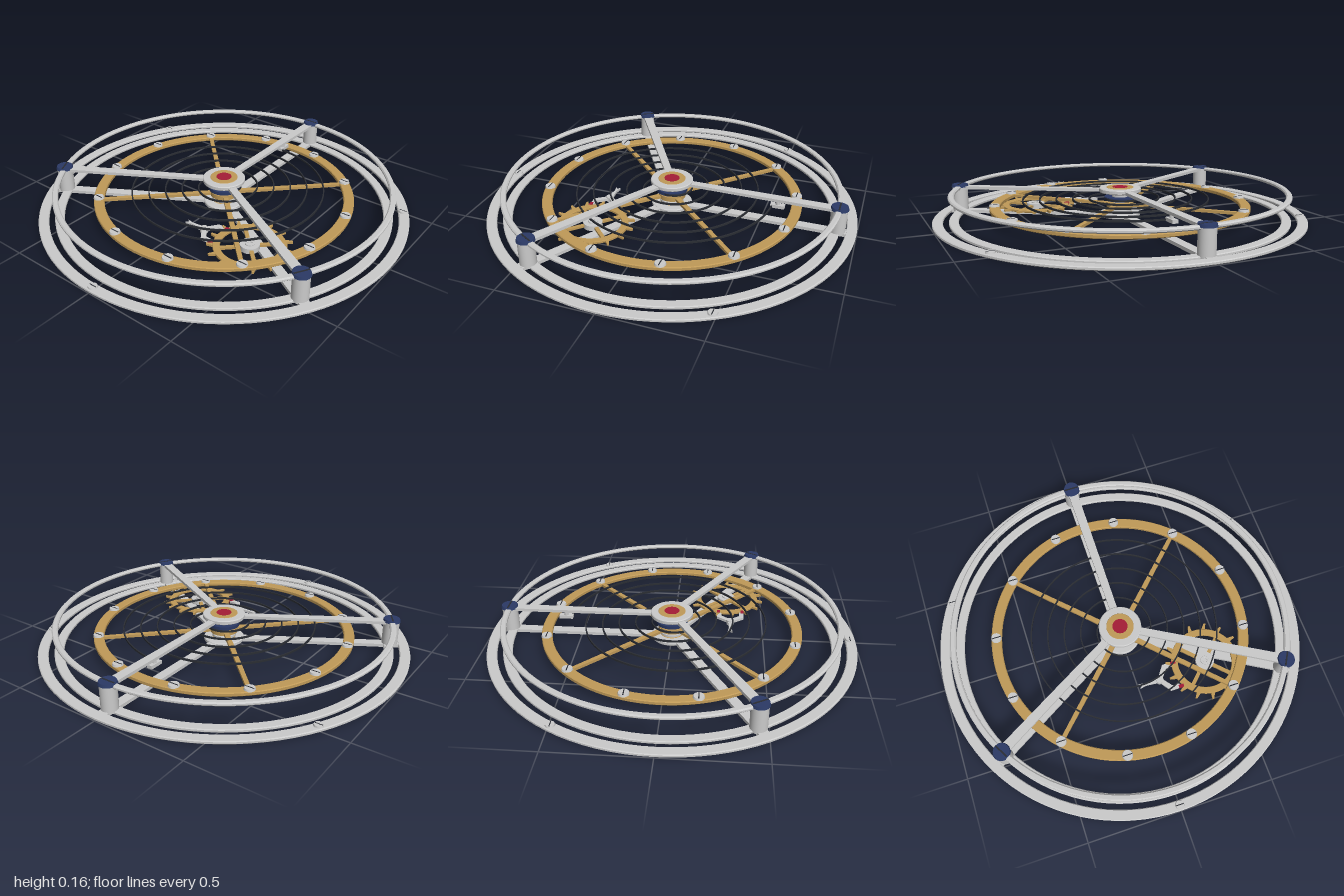
import * as THREE from 'three';

const mat = (color) => new THREE.MeshStandardMaterial({ color });
const steel = mat(0xcccccc), gold = mat(0xc09a58), blue = mat(0x2b3a66), ruby = mat(0xa51c36), dark = mat(0x2a2d33);

function add(parent, name, geometry, material, x = 0, y = 0, z = 0) {
  const mesh = new THREE.Mesh(geometry, material);
  mesh.name = name;
  mesh.position.set(x, y, z);
  parent.add(mesh);
  return mesh;
}

// Flat ring with chamfered edges, from radius r0 to r1 and height y0 to y1
function ring(r0, r1, y0, y1, c = 0.004, segments = 96) {
  const corners = [[r0, y0 + c], [r0 + c, y0], [r1 - c, y0], [r1, y0 + c],
    [r1, y1 - c], [r1 - c, y1], [r0 + c, y1], [r0, y1 - c], [r0, y0 + c]];
  // Repeated corners split the lathe into hard-edged bands
  const pts = corners.map(([r, y]) => new THREE.Vector2(r, y));
  const g = new THREE.LatheGeometry(pts, segments).toNonIndexed();
  g.computeVertexNormals();
  return g;
}

// Plan outline in (x, z) extruded from y0 to y1
function plate(points, y0, y1) {
  const shape = new THREE.Shape(points.map(([x, z]) => new THREE.Vector2(x, -z)));
  const g = new THREE.ExtrudeGeometry(shape, { depth: y1 - y0, bevelEnabled: false });
  return g.rotateX(-Math.PI / 2).translate(0, y0, 0);
}

function disc(r, y0, y1, segments = 32) {
  return new THREE.CylinderGeometry(r, r, y1 - y0, segments).translate(0, (y0 + y1) / 2, 0);
}

// Slotted screw head
function screw(parent, name, r, h, material, x, y, z) {
  const g = new THREE.Group();
  g.name = name;
  g.position.set(x, y, z);
  add(g, 'screwHead', new THREE.CylinderGeometry(r * 0.9, r, h, 24), material, 0, h / 2, 0);
  add(g, 'screwSlot', new THREE.BoxGeometry(r * 1.7, 0.002, r * 0.18), dark, 0, h, 0);
  parent.add(g);
}

// Cage: base rings, upper ring, three arms above and below, pillars
function buildCage() {
  const cage = new THREE.Group();
  cage.name = 'cage';
  add(cage, 'baseOuterRing', ring(0.945, 1, 0.003, 0.02), steel);
  add(cage, 'baseInnerRing', ring(0.865, 0.915, 0.003, 0.02), steel);
  add(cage, 'upperRing', ring(0.883, 0.915, 0.135, 0.155, 0.006), steel);
  for (let i = 0; i < 3; i++) {
    const a = (i * 2 * Math.PI) / 3;
    const arm = new THREE.Group();
    arm.name = 'cageArm';
    arm.rotation.y = a;
    cage.add(arm);
    add(arm, 'lowerArm', plate([[-0.024, -0.08], [0.024, -0.08], [0.026, -0.95], [-0.026, -0.95]], 0.002, 0.019), steel);
    add(arm, 'upperArm', plate([[-0.02, -0.08], [0.02, -0.08], [0.026, -0.9], [-0.026, -0.9]], 0.136, 0.152), steel);
    add(arm, 'pillar', disc(0.042, 0.01, 0.146), steel, 0, 0, -0.9);
    screw(arm, 'pillarScrew', 0.047, 0.015, blue, 0, 0.147, -0.9);
    // Base ring screws sit opposite the arms
    const b = a + Math.PI;
    screw(cage, 'baseScrew', 0.024, 0.009, steel, -Math.sin(b) * 0.97, 0.019, -Math.cos(b) * 0.97);
  }
  // Hubs with jewel settings
  add(cage, 'upperHub', ring(0.07, 0.115, 0.136, 0.16, 0.004, 48), steel);
  add(cage, 'upperJewelSetting', ring(0.035, 0.075, 0.14, 0.162, 0.003, 48), gold);
  add(cage, 'upperJewel', disc(0.041, 0.142, 0.163), ruby);
  add(cage, 'lowerHub', ring(0.06, 0.11, 0.002, 0.024, 0.004, 48), steel);
  add(cage, 'lowerJewelSetting', ring(0.03, 0.064, 0.004, 0.026, 0.003, 48), gold);
  add(cage, 'lowerJewel', disc(0.034, 0.006, 0.024), ruby);
  return cage;
}

// Balance wheel with rim screws, spokes and staff
function buildBalance() {
  const balance = new THREE.Group();
  balance.name = 'balanceWheel';
  add(balance, 'rim', ring(0.65, 0.706, 0.055, 0.077), gold);
  for (let i = 0; i < 12; i++) {
    const a = ((i + 0.5) * Math.PI) / 6;
    screw(balance, 'rimScrew', 0.029, 0.011, steel, Math.cos(a) * 0.679, 0.076, Math.sin(a) * 0.679);
  }
  for (let i = 0; i < 4; i++) {
    const spoke = add(balance, 'spoke', plate([[0.04, -0.014], [0.66, -0.011], [0.66, 0.011], [0.04, 0.014]], 0.058, 0.073), gold);
    spoke.rotation.y = Math.PI / 4 + (i * Math.PI) / 2;
  }
  add(balance, 'staff', disc(0.045, 0.02, 0.145), steel);
  add(balance, 'balanceHub', disc(0.075, 0.054, 0.08), gold);
  add(balance, 'roller', disc(0.065, 0.03, 0.042), steel);
  add(balance, 'collet', disc(0.085, 0.092, 0.11), blue);
  return balance;
}

// Flat spiral ribbon, swept as a rectangular section
function buildHairspring() {
  const spring = new THREE.Group();
  spring.name = 'hairspring';
  const turns = 5.3, steps = 420, w = 0.0035, h = 0.005, pos = [], index = [];
  for (let i = 0; i <= steps; i++) {
    const t = (i / steps) * turns, r = 0.556 - 0.09 * t, a = t * 2 * Math.PI;
    for (const [dr, dy] of [[-w, -h], [w, -h], [w, h], [-w, h]])
      pos.push((r + dr) * Math.sin(a), 0.101 + dy, -(r + dr) * Math.cos(a));
    if (i < steps) for (let k = 0; k < 4; k++) {
      const p = i * 4 + k, q = i * 4 + ((k + 1) % 4);
      index.push(p, q, p + 4, q, q + 4, p + 4);
    }
  }
  let g = new THREE.BufferGeometry();
  g.setAttribute('position', new THREE.Float32BufferAttribute(pos, 3));
  g.setIndex(index);
  g = g.toNonIndexed();
  g.computeVertexNormals();
  const ribbon = dark.clone();
  ribbon.side = THREE.DoubleSide;
  add(spring, 'spiral', g, ribbon);
  add(spring, 'stud', new THREE.BoxGeometry(0.03, 0.018, 0.075), steel, 0, 0.103, -0.585);
  add(spring, 'studPost', disc(0.011, 0.1, 0.138, 16), steel, 0, 0, -0.585);
  return spring;
}

// Escape wheel with fifteen hooked teeth
function buildEscapeWheel() {
  const wheel = new THREE.Group();
  wheel.name = 'escapeWheel';
  wheel.position.set(0.39, 0, 0.295);
  add(wheel, 'escapeRim', ring(0.148, 0.184, 0.032, 0.046, 0.002, 60), gold);
  for (let i = 0; i < 15; i++) {
    const tooth = add(wheel, 'tooth', plate([[0.178, -0.012], [0.216, 0.004], [0.216, 0.014], [0.178, 0.012]], 0.033, 0.045), gold);
    tooth.rotation.y = (i * 2 * Math.PI) / 15;
  }
  for (let i = 0; i < 2; i++) {
    const bar = add(wheel, 'escapeSpokes', new THREE.BoxGeometry(0.31, 0.012, 0.02), gold, 0, 0.039, 0);
    bar.rotation.y = Math.PI / 4 + (i * Math.PI) / 2;
  }
  add(wheel, 'escapeHub', disc(0.05, 0.024, 0.052), steel);
  add(wheel, 'escapePivot', ring(0.012, 0.024, 0.05, 0.058, 0.001, 24), steel);
  return wheel;
}

// Pallet fork: lever with a notched tail, two arms and ruby stones
function buildPallet() {
  const fork = new THREE.Group();
  fork.name = 'palletFork';
  fork.position.set(0.12, 0, 0.32);
  add(fork, 'lever', plate([[-0.115, -0.013], [-0.08, -0.006], [0.01, -0.014], [0.01, 0.014], [-0.08, 0.006], [-0.115, 0.013], [-0.1, 0]], 0.03, 0.044), steel);
  add(fork, 'palletPivot', disc(0.02, 0.022, 0.05, 24), steel);
  for (const s of [-1, 1]) {
    const outline = [[-0.014, 0], [0.04, 0.075], [0.095, 0.075], [0.095, 0.052], [0.055, 0.05], [0.016, 0]].map(([x, z]) => [x, z * s]);
    add(fork, 'palletArm', plate(outline, 0.03, 0.044), steel);
    add(fork, 'palletStone', new THREE.BoxGeometry(0.028, 0.018, 0.016), ruby, 0.1, 0.038, s * 0.068);
  }
  return fork;
}

export function createModel() {
  const model = new THREE.Group();
  model.name = 'watchCage';
  model.add(buildCage(), buildBalance(), buildHairspring(), buildEscapeWheel(), buildPallet());
  // Rest the model on the ground
  model.children.forEach((part) => { part.position.y -= 0.002; });
  return model;
}
